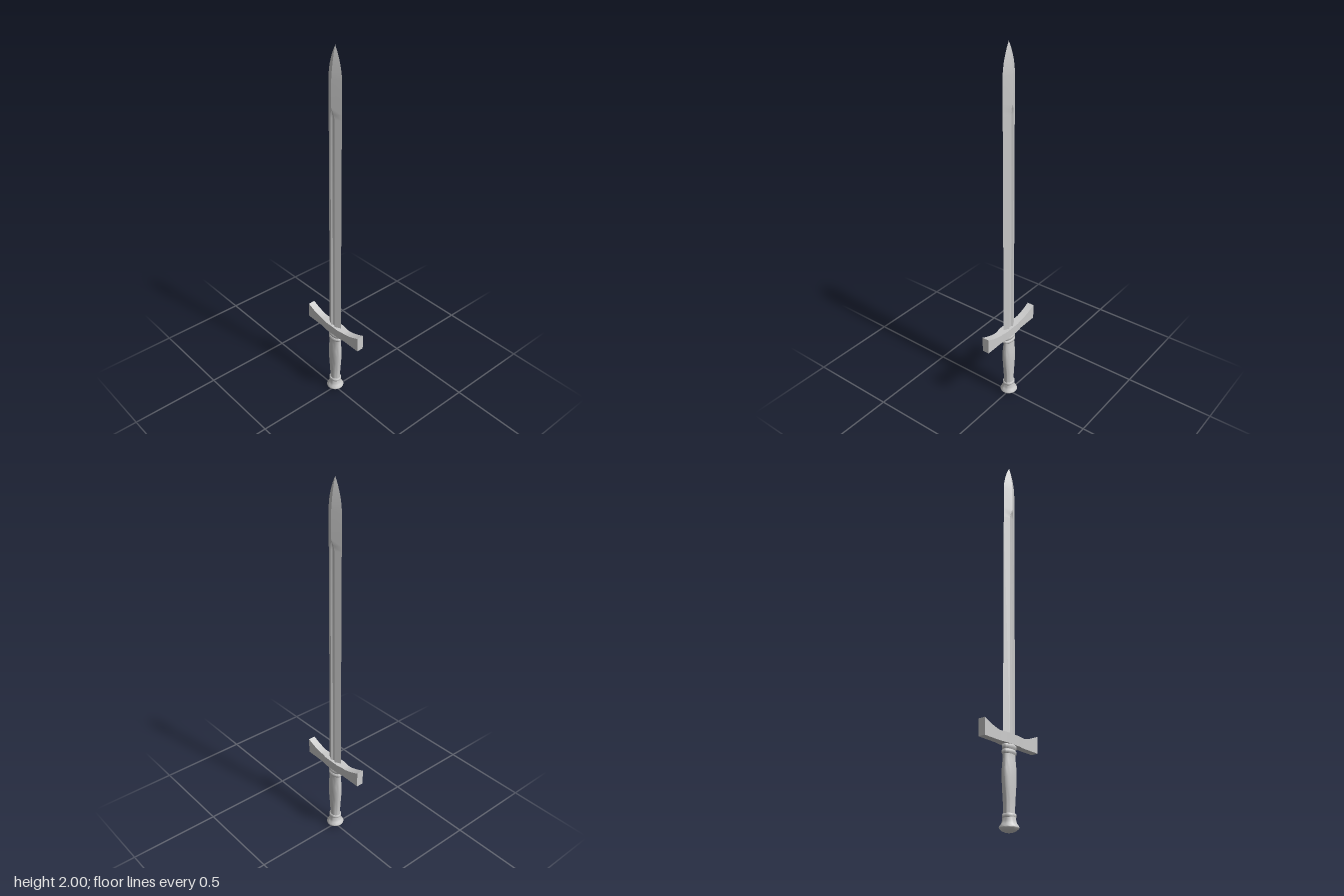
import * as THREE from 'three';
import { toCreasedNormals } from 'three/addons/utils/BufferGeometryUtils.js';

const material = new THREE.MeshStandardMaterial({ color: 0xcccccc });

function addMesh(group, name, geometry, crease) {
  const mesh = new THREE.Mesh(toCreasedNormals(geometry, crease), material);
  mesh.name = name;
  group.add(mesh);
}

// Diamond blade section with a sunken fuller on both faces
function bladeRing([y, halfWidth, halfDepth, fuller]) {
  const rim = halfDepth * (1 - fuller / halfWidth);
  const half = [
    [halfWidth, 0], [fuller, rim], [fuller / 2, rim - fuller * 0.45],
    [0, rim - fuller * 0.6], [-fuller / 2, rim - fuller * 0.45], [-fuller, rim],
  ];
  return [...half, ...half.map(([x, z]) => [-x, -z])].map(([x, z]) => new THREE.Vector3(x, y, z));
}

function bladeGeometry() {
  // y, half width, half depth, half width of fuller
  const rings = [
    [0.42, 0.046, 0.024, 0.014], [1.66, 0.046, 0.024, 0.014], [1.685, 0.046, 0.024, 0.01],
    [1.715, 0.046, 0.024, 0], [1.85, 0.046, 0.0235, 0], [1.88, 0.043, 0.021, 0],
    [1.91, 0.037, 0.0175, 0], [1.94, 0.028, 0.013, 0], [1.97, 0.016, 0.0075, 0],
    [2.0, 0.0002, 0.0002, 0],
  ].map(bladeRing);
  const positions = [];
  const tri = new THREE.Triangle();
  const addTriangle = (a, b, c) => {
    if (tri.set(a, b, c).getArea() > 1e-10) for (const p of [a, b, c]) positions.push(p.x, p.y, p.z);
  };
  for (let k = 0; k < rings.length - 1; k++) {
    for (let i = 0; i < 12; i++) {
      const j = (i + 1) % 12;
      addTriangle(rings[k][i], rings[k + 1][i], rings[k + 1][j]);
      addTriangle(rings[k][i], rings[k + 1][j], rings[k][j]);
    }
  }
  const geometry = new THREE.BufferGeometry();
  geometry.setAttribute('position', new THREE.Float32BufferAttribute(positions, 3));
  return geometry;
}

// Bar that swells around the blade and whose top sweeps up at the ends
function guardGeometry() {
  const geometry = new THREE.BoxGeometry(0.4, 1, 1, 48, 1, 1);
  const p = geometry.attributes.position;
  for (let i = 0; i < p.count; i++) {
    const x = Math.abs(p.getX(i));
    const rise = Math.max(0, (x - 0.09) / 0.11);
    const top = 0.455 + 0.035 * Math.pow(rise, 1.5);
    p.setY(i, p.getY(i) > 0 ? top : 0.405);
    const halfDepth = 0.026 - 0.0065 * THREE.MathUtils.smoothstep(x, 0.04, 0.09);
    p.setZ(i, Math.sign(p.getZ(i)) * halfDepth);
  }
  return geometry;
}

// Lathe with its own half width and half depth at each height
function ovalLathe(profile) {
  const points = profile.map(([y, rx]) => new THREE.Vector2(rx, y));
  const geometry = new THREE.LatheGeometry(points, 24);
  const p = geometry.attributes.position;
  for (let i = 0; i < p.count; i++) {
    const [, rx, rz] = profile[i % profile.length];
    if (rx > 0) p.setZ(i, p.getZ(i) * rz / rx);
  }
  return geometry;
}

const ring = (y0, y1, rx, rz) => ovalLathe([
  [y0, 0, 0], [y0, rx - 0.003, rz - 0.003], [y0 + 0.004, rx, rz],
  [y1 - 0.004, rx, rz], [y1, rx - 0.003, rz - 0.003], [y1, 0, 0],
]);

export function createModel() {
  const group = new THREE.Group();
  group.name = 'sword';

  addMesh(group, 'blade', bladeGeometry(), 0.3);
  addMesh(group, 'crossGuard', guardGeometry(), 0.6);

  // Collar under the guard
  addMesh(group, 'upperCollar', ring(0.383, 0.407, 0.044, 0.027), 0.9);
  addMesh(group, 'lowerCollar', ring(0.36, 0.38, 0.044, 0.027), 0.9);

  // Oval grip, thickest above the middle
  addMesh(group, 'grip', ovalLathe([
    [0.08, 0.031, 0.026], [0.11, 0.031, 0.025], [0.15, 0.034, 0.026], [0.2, 0.039, 0.028],
    [0.25, 0.043, 0.029], [0.29, 0.043, 0.028], [0.33, 0.04, 0.024], [0.355, 0.039, 0.022],
    [0.39, 0.039, 0.022],
  ]), 0.7);

  // Round flared pommel with its neck ring
  addMesh(group, 'neckRing', ring(0.066, 0.085, 0.035, 0.032), 0.9);
  addMesh(group, 'pommel', ovalLathe([
    [0, 0], [0.003, 0.018], [0.01, 0.034], [0.019, 0.045], [0.024, 0.047], [0.03, 0.045],
    [0.04, 0.037], [0.052, 0.033], [0.07, 0.031],
  ].map(([y, r]) => [y, r, r])), 0.7);

  return group;
}
